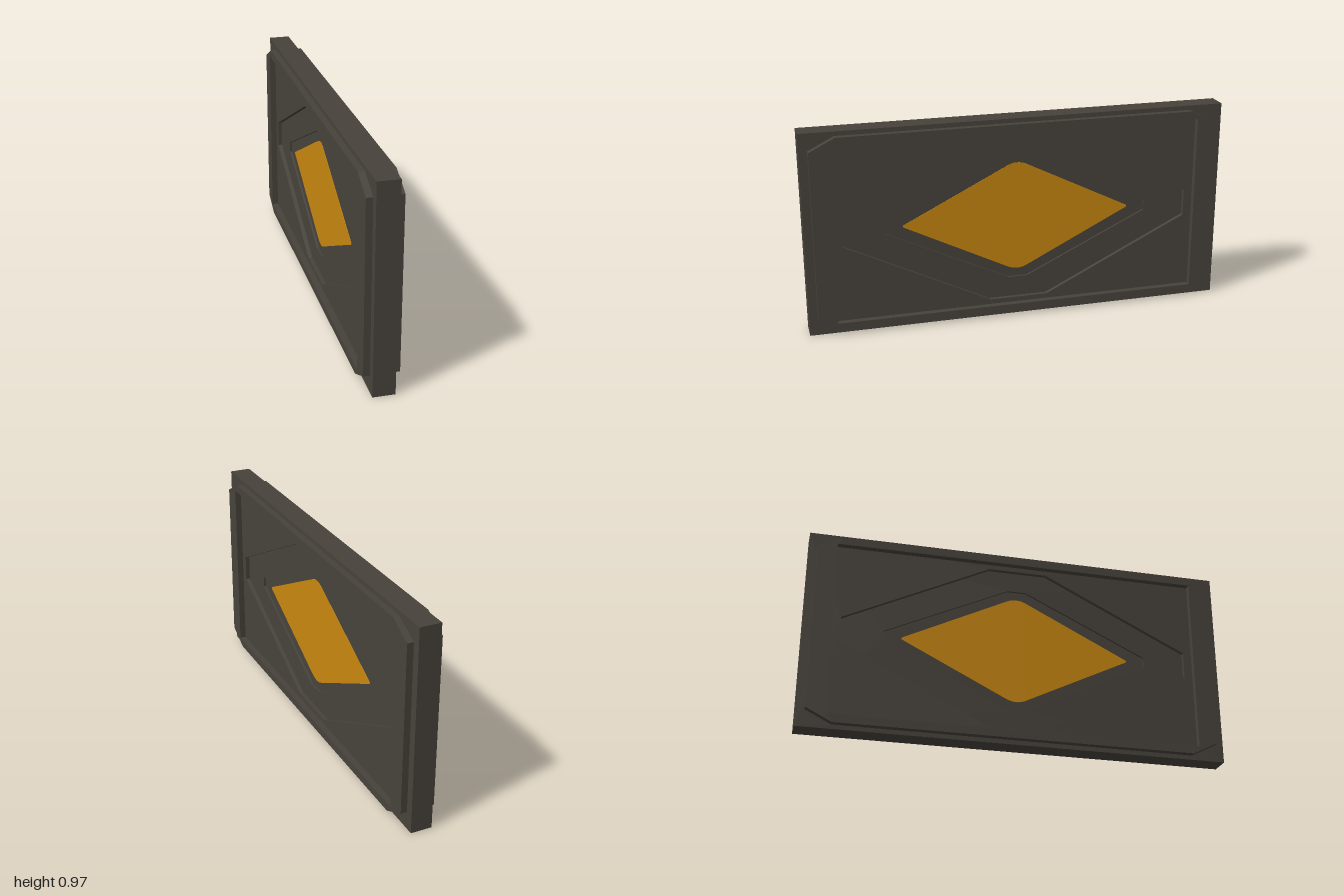
import * as THREE from 'three';

const MID_Y = 0.485;

// Closed outline centred on the panel: half length, half height, and how far
// the straight top and end edges reach from the middle
function octagon(len, high, topHalf, endHalf, Type = THREE.Shape) {
  const quarter = [[len, endHalf], [topHalf, high]];
  const pts = [
    ...quarter,
    ...quarter.map(([u, v]) => [-u, v]).reverse(),
    ...quarter.map(([u, v]) => [-u, -v]),
    ...quarter.map(([u, v]) => [u, -v]).reverse(),
  ];
  return new Type(pts.map(([u, v]) => new THREE.Vector2(u, v)));
}

function rectangle(len, high, Type = THREE.Shape) {
  return new Type([[len, -high], [len, high], [-len, high], [-len, -high]].map(([u, v]) => new THREE.Vector2(u, v)));
}

// Diamond with softened top and bottom points and narrow ends
function diamond() {
  const s = new THREE.Shape();
  s.moveTo(0.545, 0.004);
  s.lineTo(0.045, 0.254);
  s.quadraticCurveTo(0, 0.275, -0.045, 0.254);
  s.lineTo(-0.545, 0.004);
  s.lineTo(-0.545, -0.004);
  s.lineTo(-0.045, -0.254);
  s.quadraticCurveTo(0, -0.275, 0.045, -0.254);
  s.lineTo(0.545, -0.004);
  s.closePath();
  return s;
}

// Extrude an outline sideways, from x = from to x = to
function layer(name, shape, from, to, material, hole) {
  if (hole) shape.holes.push(hole);
  const geo = new THREE.ExtrudeGeometry(shape, { depth: to - from, bevelEnabled: false, curveSegments: 8 });
  geo.translate(0, 0, from).rotateY(Math.PI / 2);
  const mesh = new THREE.Mesh(geo, material);
  mesh.name = name;
  mesh.position.y = MID_Y;
  return mesh;
}

export function createModel() {
  const metal = new THREE.MeshStandardMaterial({ color: 0x47423b });
  metal.name = 'dark metal';
  const amber = new THREE.MeshStandardMaterial({ color: 0xc8870f });
  amber.name = 'amber';

  const model = new THREE.Group();
  model.name = 'panel';

  // Solid middle of the slab
  model.add(layer('core', rectangle(1, MID_Y), -0.02, 0.02, metal));

  // The same stepped relief on both faces
  for (const side of ['right', 'left']) {
    const face = new THREE.Group();
    face.name = side + 'Face';
    face.add(
      layer('innerStep', rectangle(1, MID_Y), 0.02, 0.03, metal, octagon(0.63, 0.305, 0.045, 0.025, THREE.Path)),
      layer('outerStep', rectangle(1, MID_Y), 0.03, 0.05, metal, octagon(0.83, 0.403, 0.14, 0.063, THREE.Path)),
      layer('frame', octagon(0.96, 0.464, 0.84, 0.403), 0.05, 0.08, metal, rectangle(0.87, 0.426, THREE.Path)),
      layer('diamondInlay', diamond(), 0.02, 0.022, amber),
    );
    if (side === 'left') face.rotation.y = Math.PI;
    model.add(face);
  }
  return model;
}
